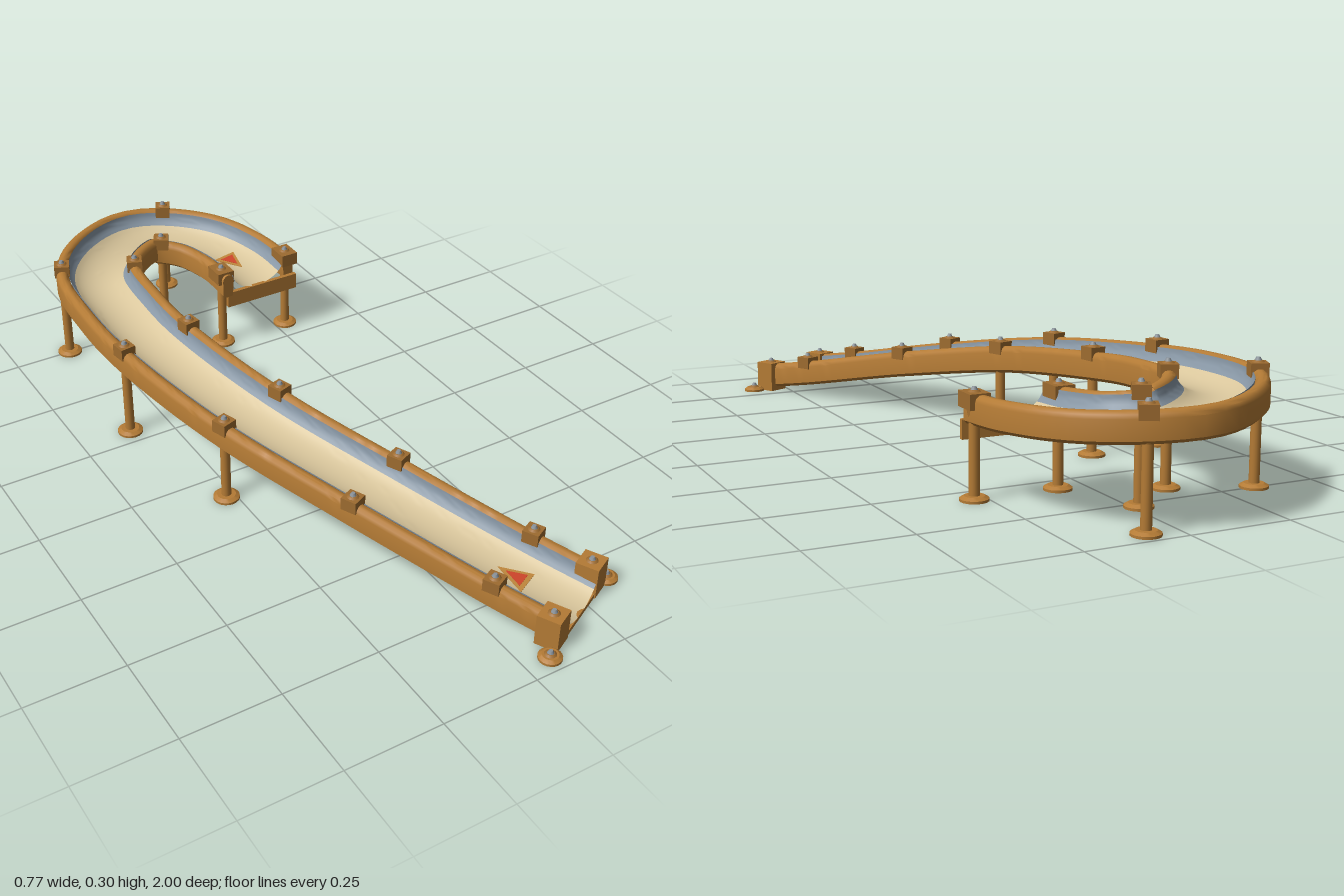
import * as THREE from 'three';
import { toCreasedNormals } from 'three/addons/utils/BufferGeometryUtils.js';

const mat = (name, color, side = THREE.FrontSide) => {
  const m = new THREE.MeshStandardMaterial({ color, side });
  m.name = name;
  return m;
};

// Centre line of the slide: x, rail-top height, z, from the curled start to the low end
const path = new THREE.CatmullRomCurve3([
  [0.178, 0.24, -0.54], [0.17, 0.246, -0.66], [0.122, 0.254, -0.79], [0.035, 0.262, -0.868],
  [-0.045, 0.268, -0.888], [-0.165, 0.275, -0.82], [-0.246, 0.278, -0.706], [-0.268, 0.274, -0.51],
  [-0.259, 0.262, -0.325], [-0.18, 0.228, 0.045], [-0.034, 0.17, 0.397], [0.132, 0.1, 0.738], [0.21, 0.073, 0.893],
].map(p => new THREE.Vector3(...p)));

const STEPS = 110;
const frames = Array.from({ length: STEPS + 1 }, (_, k) => {
  const p = path.getPointAt(k / STEPS), t = path.getTangentAt(k / STEPS);
  const pitch = Math.asin(-t.y);
  t.y = 0;
  t.normalize();
  return { p, t, s: new THREE.Vector3(t.z, 0, -t.x), yaw: Math.atan2(t.x, t.z), pitch };
});
const frameNear = (x, z) => frames.reduce((a, b) =>
  Math.hypot(b.p.x - x, b.p.z - z) < Math.hypot(a.p.x - x, a.p.z - z) ? b : a);

// Sweep a counter-clockwise [side, height] profile along the centre line
function sweep(profile, closed) {
  const n = profile.length, pos = [], idx = [];
  for (const { p, s } of frames)
    for (const [o, h] of profile) pos.push(p.x + s.x * o, Math.max(0.002, p.y + h), p.z + s.z * o);
  for (let k = 0; k < STEPS; k++)
    for (let i = 0; i < (closed ? n : n - 1); i++) {
      const a = k * n + i, b = k * n + (i + 1) % n;
      idx.push(a, b, b + n, a, b + n, a + n);
    }
  if (closed)
    for (let i = 1; i < n - 1; i++) {
      const e = STEPS * n;
      idx.push(0, i + 1, i, e, e + i, e + i + 1);
    }
  const g = new THREE.BufferGeometry();
  g.setAttribute('position', new THREE.Float32BufferAttribute(pos, 3));
  g.setIndex(idx);
  return toCreasedNormals(g, 0.7);
}

// Part of the half-elliptical trough section between two angles (degrees below horizontal)
function troughArc(from, to, steps) {
  return Array.from({ length: steps + 1 }, (_, i) => {
    const a = THREE.MathUtils.degToRad(from + (to - from) * i / steps);
    return [0.086 * Math.cos(a), -0.005 - 0.057 * Math.sin(a)];
  });
}

export function createModel() {
  const wood = mat('wood', 0xb47b35);
  const darkWood = mat('dark wood', 0x9e6c30);
  const cream = mat('cream floor', 0xd9c69c, THREE.DoubleSide);
  const blue = mat('blue grey stripe', 0x8796a4, THREE.DoubleSide);
  const metal = mat('bolt metal', 0x8b939a);
  const orange = mat('sign border', 0xc48a3e, THREE.DoubleSide);
  const red = mat('sign red', 0xd2472b, THREE.DoubleSide);

  const model = new THREE.Group();
  const add = (name, geo, material, x = 0, y = 0, z = 0, yaw = 0) => {
    const m = new THREE.Mesh(geo, material);
    m.name = name;
    m.position.set(x, y, z);
    m.rotation.y = yaw;
    model.add(m);
    return m;
  };

  // Trough and its side stripes
  add('troughFloor', sweep(troughArc(37, 143, 14), false), cream);
  add('stripeLeft', sweep(troughArc(0, 37, 5), false), blue);
  add('stripeRight', sweep(troughArc(143, 180, 5), false), blue);

  // Plank walls with rounded tops
  const wall = [[0.088, -0.07], [0.112, -0.07], [0.12, -0.062], [0.12, -0.016], [0.117, -0.007],
    [0.11, -0.001], [0.103, 0], [0.095, -0.001], [0.088, -0.007], [0.085, -0.016]];
  add('wallLeft', sweep(wall, true), wood);
  add('wallRight', sweep(wall.map(([o, h]) => [-o, h]).reverse(), true), wood);

  // Shared fittings
  const clampGeo = new THREE.BoxGeometry(0.042, 0.033, 0.042);
  const washerGeo = new THREE.CylinderGeometry(0.01, 0.015, 0.004, 12);
  const boltGeo = new THREE.CylinderGeometry(0.005, 0.009, 0.008, 8);
  const footGeo = new THREE.LatheGeometry(
    [[0, 0], [0.034, 0], [0.034, 0.006], [0.024, 0.012], [0, 0.012]].map(p => new THREE.Vector2(...p)), 20);
  const foot = toCreasedNormals(footGeo, 0.4);
  const bolt = (x, y, z) => {
    add('washer', washerGeo, darkWood, x, y + 0.002, z);
    add('bolt', boltGeo, metal, x, y + 0.007, z);
  };
  const leg = (x, z, top) => {
    add('legFoot', foot, wood, x, 0, z);
    add('leg', new THREE.CylinderGeometry(0.0125, 0.0125, top, 16), wood, x, top / 2, z);
    add('legCollar', new THREE.CylinderGeometry(0.018, 0.0125, 0.03, 16), wood, x, top - 0.015, z);
  };

  // Clamps in pairs on the walls, the higher ones on legs
  const clampPairs = [[0.035, -0.87, true], [-0.246, -0.706, true], [-0.259, -0.325, true],
    [-0.18, 0.045, true], [-0.034, 0.397, false], [0.132, 0.738, false]];
  for (const [cx, cz, hasLegs] of clampPairs) {
    const { p, s, yaw } = frameNear(cx, cz);
    for (const side of [-1, 1]) {
      const x = p.x + s.x * 0.102 * side, z = p.z + s.z * 0.102 * side, y = p.y - 0.003;
      add('clamp', clampGeo, darkWood, x, y, z, yaw);
      bolt(x, y + 0.0165, z);
      if (hasLegs) leg(x, z, p.y - 0.04);
    }
  }

  // Start gate: two capped legs and a crossbar
  for (const x of [0.073, 0.283]) {
    add('startCap', new THREE.BoxGeometry(0.05, 0.036, 0.062), darkWood, x, 0.228, -0.571);
    bolt(x, 0.246, -0.571);
    leg(x, -0.571, 0.212);
  }
  add('startCrossbar', new THREE.BoxGeometry(0.226, 0.046, 0.012), wood, 0.188, 0.157, -0.541);

  // Low end: posts, ground bar and bolted anchor discs
  const end = frames[STEPS];
  const at = (o, f) => [end.p.x + end.s.x * o + end.t.x * f, end.p.z + end.s.z * o + end.t.z * f];
  for (const side of [-1, 1]) {
    let [x, z] = at(side * 0.106, -0.026);
    add('endPost', new THREE.BoxGeometry(0.058, 0.083, 0.058), wood, x, 0.0415, z, end.yaw);
    bolt(x, 0.083, z);
    [x, z] = at(side * 0.158, -0.004);
    add('anchorDisc', foot, wood, x, 0, z).scale.set(0.84, 1, 0.84);
    bolt(x, 0.012, z);
  }
  const [bx, bz] = at(0, -0.006);
  add('groundBar', new THREE.BoxGeometry(0.27, 0.0125, 0.012), wood, bx, 0.00625, bz, end.yaw);

  // Triangular floor signs, apex pointing back up the path
  const triangle = (w, l) => new THREE.ExtrudeGeometry(new THREE.Shape([
    new THREE.Vector2(-w / 2, -l / 2), new THREE.Vector2(w / 2, -l / 2), new THREE.Vector2(0, l / 2),
  ]), { depth: 0.002, bevelEnabled: false }).rotateX(-Math.PI / 2);
  for (const [sx, sz] of [[0.167, -0.675], [0.135, 0.745]]) {
    const { p, yaw, pitch } = frameNear(sx, sz);
    const sign = new THREE.Group();
    sign.name = 'floorSign';
    const border = new THREE.Mesh(triangle(0.072, 0.08), orange);
    border.name = 'signBorder';
    const face = new THREE.Mesh(triangle(0.044, 0.048), red);
    face.name = 'signFace';
    face.position.set(0, 0.001, 0.005);
    sign.add(border, face);
    sign.position.set(p.x, p.y - 0.055, p.z);
    sign.rotation.set(pitch, yaw, 0, 'YXZ');
    model.add(sign);
  }
  return model;
}
